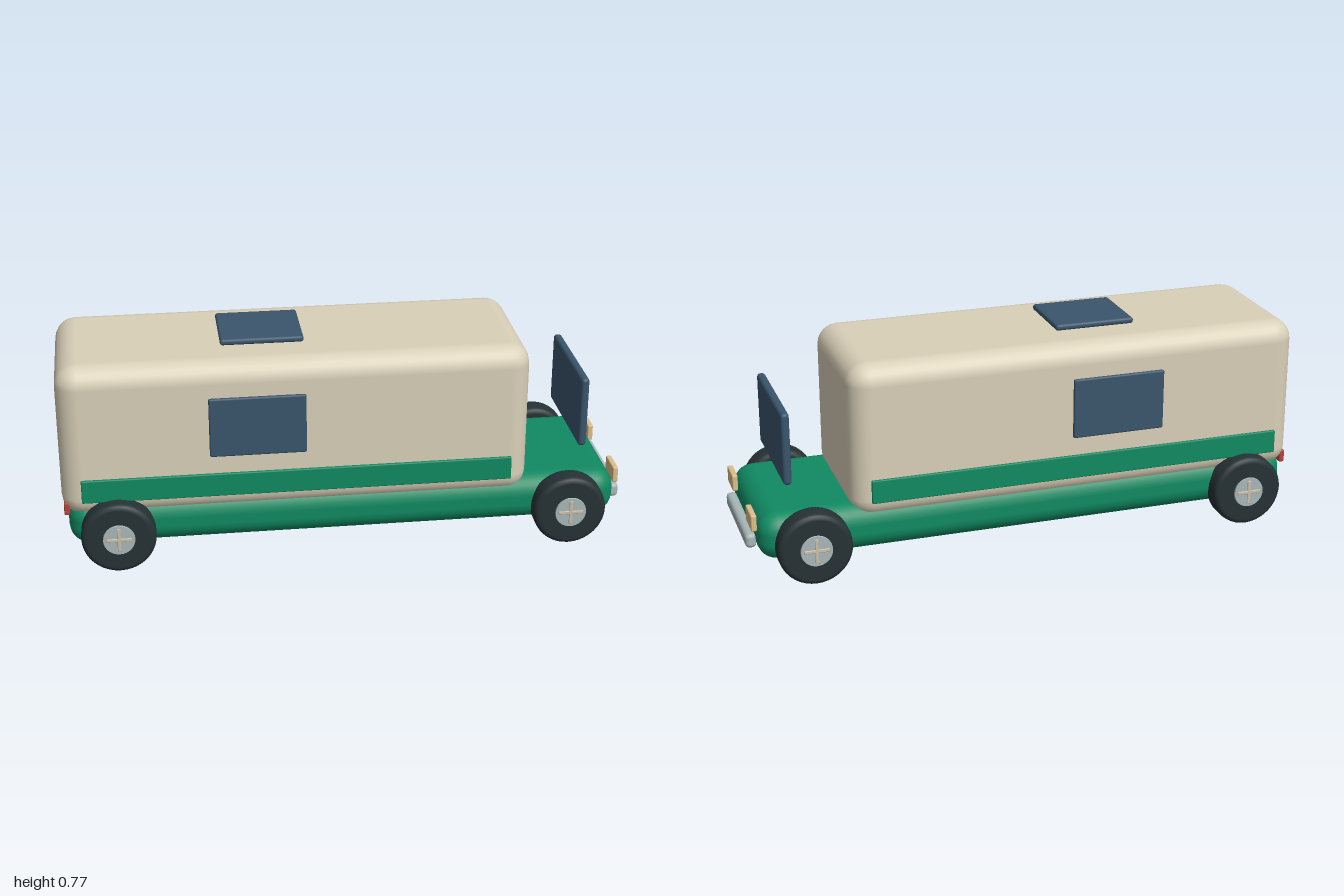
import * as THREE from 'three';
import { RoundedBoxGeometry } from 'three/addons/geometries/RoundedBoxGeometry.js';

const mat = (color) => new THREE.MeshStandardMaterial({ color });
const CREAM = mat(0xd9d0b8), GREEN = mat(0x108a62), GLASS = mat(0x3a556c), TYRE = mat(0x263235);
const METAL = mat(0xa9b7b8), LAMP = mat(0xdcc08a), RED = mat(0xb8433a), SPOKE = mat(0xc9c0a8);

export function createModel() {
  const model = new THREE.Group();
  model.name = 'camperVan';

  // Rounded block given by its extents on each axis
  const block = (name, material, [x0, x1], [y0, y1], [z0, z1], radius, segments = 2) => {
    const mesh = new THREE.Mesh(
      new RoundedBoxGeometry(x1 - x0, y1 - y0, z1 - z0, segments, radius), material);
    mesh.position.set((x0 + x1) / 2, (y0 + y1) / 2, (z0 + z1) / 2);
    mesh.name = name;
    model.add(mesh);
    return mesh;
  };

  // Chassis and living cabin
  block('chassis', GREEN, [-0.98, 0.965], [0.067, 0.238], [-0.28, 0.28], 0.07, 3);
  block('cabin', CREAM, [-1, 0.64], [0.18, 0.74], [-0.28, 0.28], 0.075, 3);

  // Windscreen, roof hatch and front bumper
  block('windscreen', GLASS, [0.833, 0.863], [0.325, 0.585], [-0.215, 0.215], 0.012);
  block('roofHatch', GLASS, [-0.43, -0.14], [0.745, 0.767], [-0.13, 0.13], 0.009);
  block('bumper', METAL, [0.962, 1], [0.1, 0.152], [-0.195, 0.195], 0.015);

  // Parts mirrored on both sides
  for (const s of [1, -1]) {
    const side = s > 0 ? 'front' : 'back';
    const zSpan = (a, b) => (s > 0 ? [a, b] : [-b, -a]);
    block(side + 'SideStripe', GREEN, [-0.93, 0.575], [0.25, 0.335], zSpan(0.278, 0.292), 0.004, 1);
    block(side + 'SideWindow', GLASS, [-0.485, -0.15], [0.403, 0.62], zSpan(0.282, 0.297), 0.006);
    block(side + 'Headlight', LAMP, [0.964, 0.984], [0.178, 0.238], zSpan(0.128, 0.23), 0.005);
    block(side + 'TailLight', RED, [-0.994, -0.974], [0.188, 0.235], zSpan(0.15, 0.25), 0.005);
  }

  // Tyre cross-section (radius, offset along the axle) with rounded shoulders
  const half = 0.044, R = 0.13, r = 0.02;
  const profile = [new THREE.Vector2(0, -half)];
  const shoulder = (from) => {
    for (let i = 0; i <= 4; i++) {
      const a = from + (i / 4) * (Math.PI / 2);
      profile.push(new THREE.Vector2(R - r + r * Math.cos(a),
        (from < 0 ? -1 : 1) * (half - r) + r * Math.sin(a)));
    }
  };
  shoulder(-Math.PI / 2);
  shoulder(0);
  profile.push(new THREE.Vector2(0, half));
  const tyreGeometry = new THREE.LatheGeometry(profile, 40).rotateX(Math.PI / 2);
  const hubGeometry = new THREE.CylinderGeometry(0.055, 0.057, 0.012, 32).rotateX(Math.PI / 2);
  const spokeGeometry = new RoundedBoxGeometry(0.09, 0.013, 0.01, 1, 0.003);

  // Four wheels, each with a hub disc and crossed spokes on the outside
  for (const x of [-0.81, 0.785]) {
    for (const s of [1, -1]) {
      const wheel = new THREE.Group();
      wheel.name = (x > 0 ? 'front' : 'rear') + (s > 0 ? 'Right' : 'Left') + 'Wheel';
      const add = (name, geometry, material, z, turn = 0) => {
        const mesh = new THREE.Mesh(geometry, material);
        mesh.name = name;
        mesh.position.z = z;
        mesh.rotation.z = turn;
        wheel.add(mesh);
      };
      add('tyre', tyreGeometry, TYRE, 0);
      add('hub', hubGeometry, METAL, half);
      add('spoke', spokeGeometry, SPOKE, half + 0.004);
      add('spoke', spokeGeometry, SPOKE, half + 0.004, Math.PI / 2);
      wheel.position.set(x, R, s * 0.297);
      if (s < 0) wheel.rotation.y = Math.PI;
      model.add(wheel);
    }
  }
  return model;
}
